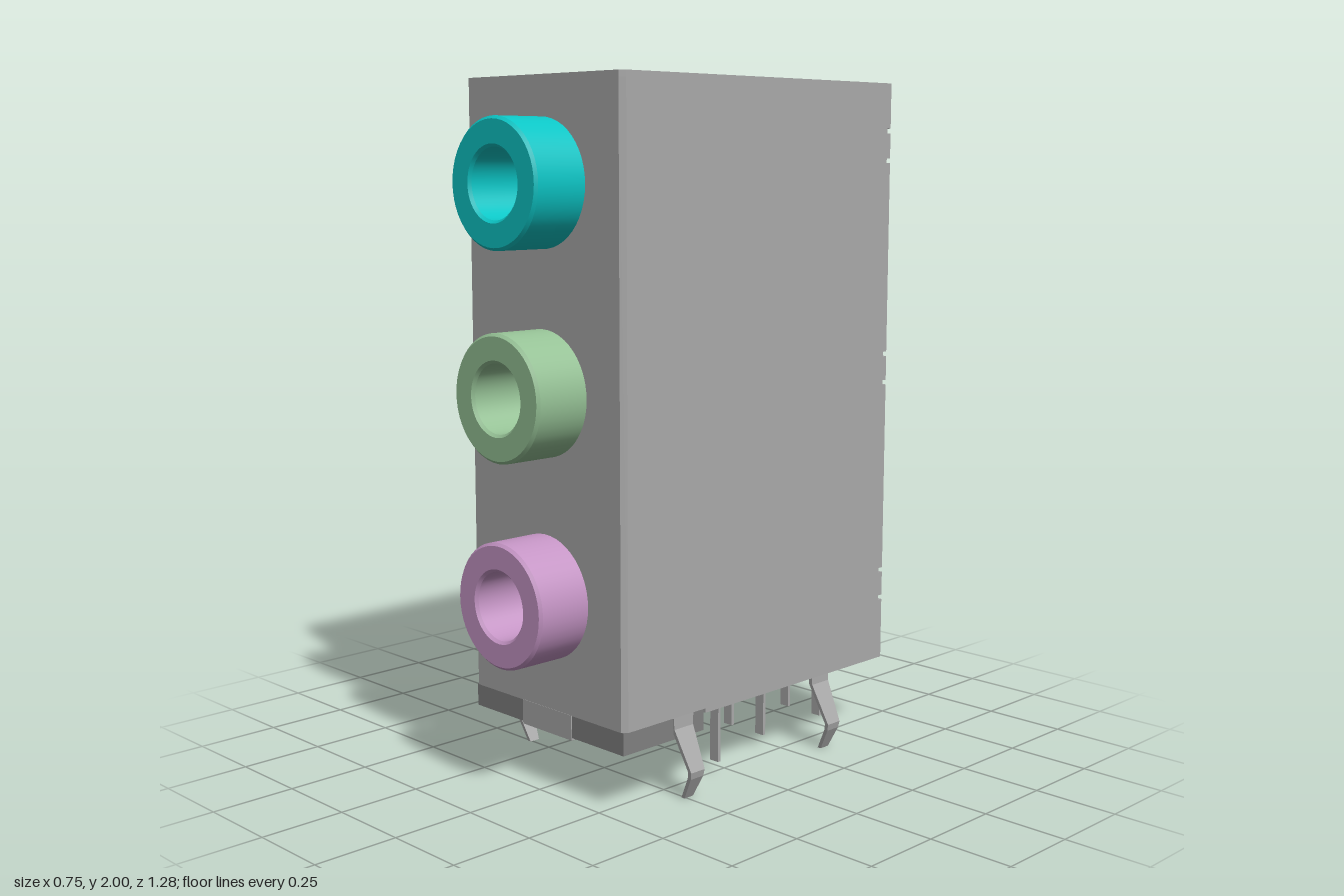
import * as THREE from 'three';

const mat = (name, color, side = THREE.FrontSide) => {
  const m = new THREE.MeshStandardMaterial({ color, side });
  m.name = name;
  return m;
};

export function createModel() {
  const root = new THREE.Group();
  root.name = 'stackedAudioJack';
  const metal = mat('metal', 0xaaaaaa);
  const grey = mat('greyPlastic', 0x808080);
  const dark = mat('darkPlastic', 0x3c3c3c);
  const cyan = mat('cyanPlastic', 0x0cc6c6);
  const green = mat('greenPlastic', 0x96c296);
  const pink = mat('pinkPlastic', 0xc595c5);

  const add = (name, geo, material, parent = root) => {
    const m = new THREE.Mesh(geo, material);
    m.name = name;
    parent.add(m);
    return m;
  };
  // Box given by its minimum and maximum on each axis
  const box = (name, x0, x1, y0, y1, z0, z1, material, parent = root) => {
    const m = add(name, new THREE.BoxGeometry(x1 - x0, y1 - y0, z1 - z0), material, parent);
    m.position.set((x0 + x1) / 2, (y0 + y1) / 2, (z0 + z1) / 2);
    return m;
  };
  // Floor-plan outline of [x, z] points, raised from y0 to y1
  const raise = (name, pts, y0, y1, material, parent = root) => {
    const shape = new THREE.Shape(pts.map(([x, z]) => new THREE.Vector2(x, -z)));
    const geo = new THREE.ExtrudeGeometry(shape, { depth: y1 - y0, bevelEnabled: false });
    geo.rotateX(-Math.PI / 2);
    geo.translate(0, y0, 0);
    return add(name, geo, material, parent);
  };

  const W = 0.322, T = 0.018, BACK = -0.64, LIP = -0.624, FRONT = 0.47, C = 0.014;

  // Sheet-metal shell: U-shaped wall with chamfered front corners, and a lid
  const shell = new THREE.Group();
  shell.name = 'shell';
  root.add(shell);
  const outer = [[-W, LIP], [-W, FRONT - C], [-W + C, FRONT], [W - C, FRONT], [W, FRONT - C], [W, LIP]];
  const inner = [[W - T, LIP], [W - T, FRONT - T], [-W + T, FRONT - T], [-W + T, LIP]];
  raise('shellWall', [...outer, ...inner], 0.235, 1.982, metal, shell);
  raise('shellTop', outer, 1.982, 2, metal, shell);

  // Rear lip, notched either side of each folded tab
  const tabYs = [0.46, 1.14, 1.815], half = 0.037, gap = 0.014;
  for (const s of [-1, 1]) {
    const side = (name, a, b, y0, y1, z0, z1) =>
      box(name, Math.min(s * a, s * b), Math.max(s * a, s * b), y0, y1, z0, z1, metal, shell);
    let y = 0.222;
    for (const ty of tabYs) {
      side('rearLip', W - T, W, y, ty - half - gap, BACK, LIP);
      side('sideTab', W - 0.058, W, ty - half, ty + half, BACK, LIP);
      y = ty + half + gap;
    }
    side('rearLip', W - T, W, y, 2, BACK, LIP);
    side('skirt', W - T, W, 0.222, 0.235, LIP, 0.155);
    side('topLip', 0.081, W - T, 1.982, 2, BACK, LIP);
  }
  box('topTab', -0.066, 0.066, 1.935, 2, BACK, LIP, metal, shell);

  // Front tab folded under the base
  box('frontTab', -0.105, 0.105, 0.168, 0.236, 0.456, FRONT + 0.001, metal, shell);
  box('frontTabFold', -0.105, 0.105, 0.163, 0.172, 0.39, FRONT, metal, shell);

  // Plastic insert: rear panel, raised frame, floor
  const insert = new THREE.Group();
  insert.name = 'insert';
  root.add(insert);
  box('insertBody', -0.303, 0.303, 0.3, 1.981, -0.618, 0.45, dark, insert);
  box('insertFloor', -0.303, 0.303, 0.24, 0.3, -0.585, 0.45, dark, insert);

  // Base block under the front, dark underneath
  box('baseBlock', -0.315, 0.315, 0.17, 0.235, 0.155, 0.468, [grey, grey, grey, dark, grey, dark]);

  // Jack barrels with a rounded rim and a bore
  const profile = [[0.097, 0], [0.097, 0.162], [0.105, 0.17], [0.17, 0.17], [0.178, 0.162], [0.178, 0]];
  const jacks = [['pinkJack', 0.56, pink], ['greenJack', 1.135, green], ['cyanJack', 1.71, cyan]];
  for (const [name, y, material] of jacks) {
    const jack = new THREE.Group();
    jack.name = name;
    jack.position.set(0, y, FRONT);
    root.add(jack);
    // One lathe per profile step keeps the edges sharp
    for (let i = 0; i < profile.length - 1; i++) {
      const pts = [profile[i + 1], profile[i]].map(([r, h]) => new THREE.Vector2(r, h));
      const geo = new THREE.LatheGeometry(pts.reverse(), 48);
      geo.rotateX(Math.PI / 2);
      const m = add('barrel', geo, material, jack);
      // Outward normals: flip the winding if the lathe faces inward
      fixWinding(m.geometry, profile[i], profile[i + 1]);
    }
  }

  // Spring legs: tapered bent strips, mirrored left and right
  const bends = [[0.318, 0.25, 0.04], [0.32, 0.2, 0.037], [0.376, 0.085, 0.027], [0.372, 0.065, 0.025], [0.34, 0, 0.017]];
  for (const s of [-1, 1]) for (const z of [0.24, -0.35]) {
    add('springLeg', stripGeometry(bends, 0.012, s, z), metal);
  }

  // Contact pins in three rows
  const pin = (x, z, w, d) => box('pin', x - w / 2, x + w / 2, 0.04, 0.245, z - d / 2, z + d / 2, metal);
  for (const x of [-0.263, -0.132, 0.132, 0.263]) pin(x, 0.052, 0.032, 0.01);
  pin(0, 0.044, 0.008, 0.03);
  for (const z of [-0.216, -0.48]) for (const x of [-0.197, -0.066, 0.066, 0.197]) pin(x, z, 0.032, 0.01);

  return root;
}

// Makes a lathed band face the left-hand side of its profile step a -> b
function fixWinding(geo, a, b) {
  const p = geo.attributes.position, n = geo.attributes.normal, idx = geo.index;
  const want = [-(b[1] - a[1]), b[0] - a[0]]; // radial, axial
  const v = (i) => new THREE.Vector3().fromBufferAttribute(p, idx.getX(i));
  const face = v(1).sub(v(0)).cross(v(2).sub(v(0)));
  const c = v(0).add(v(1)).add(v(2)).setZ(0).normalize();
  if (face.dot(c) * want[0] + face.z * want[1] < 0) {
    for (let i = 0; i < idx.count; i += 3) {
      const t = idx.getX(i);
      idx.setX(i, idx.getX(i + 2));
      idx.setX(i + 2, t);
    }
  }
  // Normals from the wanted direction, smooth around the axis
  const len = Math.hypot(want[0], want[1]);
  for (let i = 0; i < p.count; i++) {
    const r = Math.hypot(p.getX(i), p.getY(i));
    n.setXYZ(i, p.getX(i) / r * want[0] / len, p.getY(i) / r * want[0] / len, want[1] / len);
  }
}

// Flat strip through [x, y, halfWidth] stations, with a rectangular section
function stripGeometry(stations, t, s, zc) {
  const pos = [], idx = [];
  for (const [x, y, h] of stations) {
    for (const [dx, dz] of [[0, h], [0, -h], [-t, -h], [-t, h]]) pos.push(s * (x + dx), y, zc + dz);
  }
  const quad = (a, b, c, d) => (s > 0 ? idx.push(a, b, c, a, c, d) : idx.push(a, c, b, a, d, c));
  for (let i = 0; i < stations.length - 1; i++) for (let k = 0; k < 4; k++) {
    const a = i * 4 + k, b = i * 4 + (k + 1) % 4;
    quad(a, a + 4, b + 4, b);
  }
  const e = (stations.length - 1) * 4;
  quad(0, 1, 2, 3);
  quad(e + 3, e + 2, e + 1, e);
  const geo = new THREE.BufferGeometry();
  geo.setAttribute('position', new THREE.Float32BufferAttribute(pos, 3));
  geo.setIndex(idx);
  const flat = geo.toNonIndexed();
  flat.computeVertexNormals();
  return flat;
}
